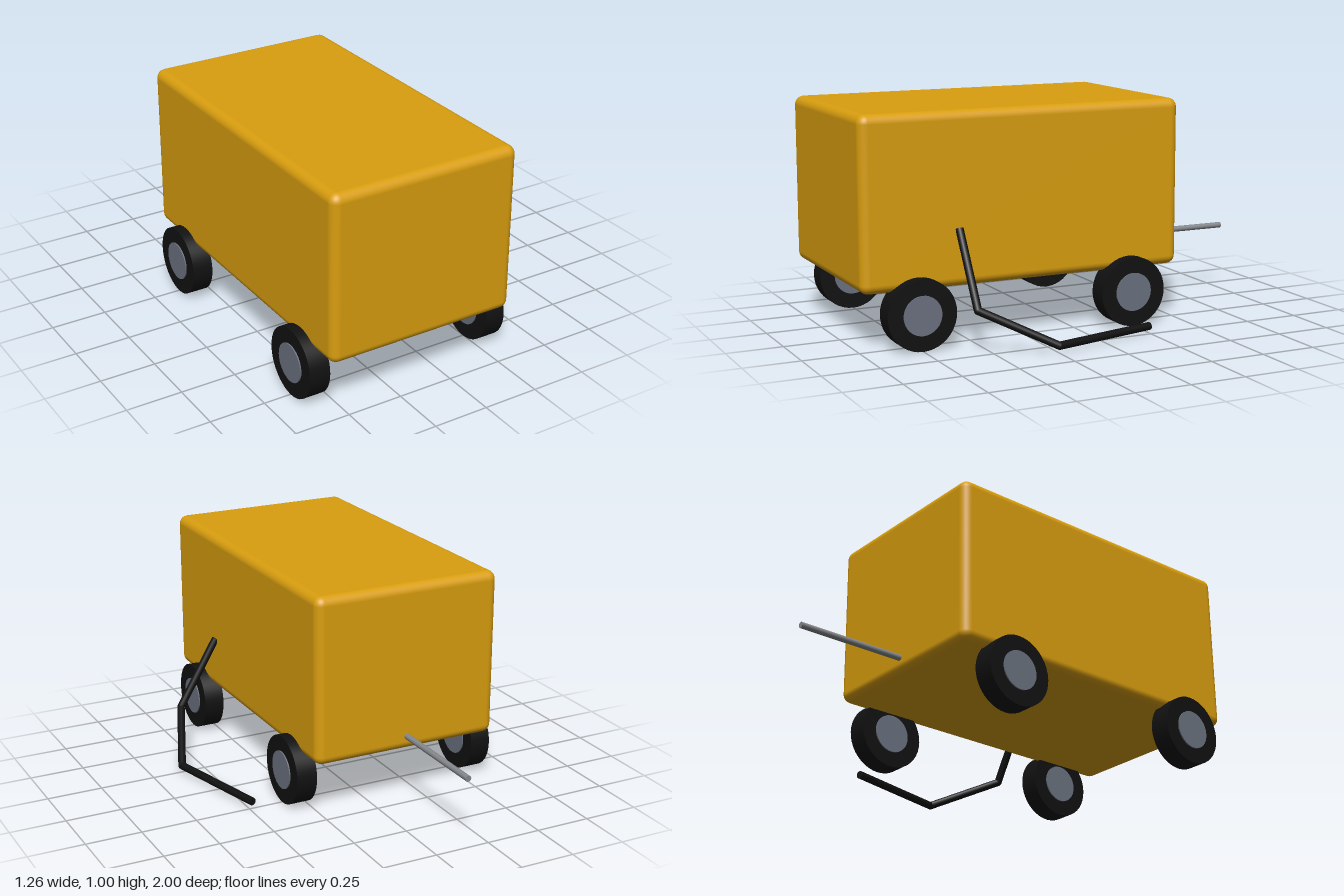
import * as THREE from 'three';
import { RoundedBoxGeometry } from 'three/addons/geometries/RoundedBoxGeometry.js';

const material = (name, color) => {
  const m = new THREE.MeshStandardMaterial({ color });
  m.name = name;
  return m;
};

export function createModel() {
  const yellow = material('yellow paint', 0xd99e0f);
  const black = material('black rubber', 0x111111);
  const hubGrey = material('hub grey', 0x6b7280);
  const steel = material('steel grey', 0x85888c);
  const model = new THREE.Group();
  model.name = 'trailer';
  const centreX = -0.142;

  const add = (parent, name, geometry, mat, x = 0, y = 0, z = 0) => {
    const mesh = new THREE.Mesh(geometry, mat);
    mesh.name = name;
    mesh.position.set(x, y, z);
    parent.add(mesh);
    return mesh;
  };

  // Box body with rounded edges
  add(model, 'body', new RoundedBoxGeometry(0.876, 0.75, 1.5, 4, 0.04), yellow, centreX, 0.625, 0.25);

  // Four wheels, each with a hub standing slightly proud on both sides
  const tyreShape = new THREE.CylinderGeometry(0.155, 0.155, 0.094, 40).rotateZ(Math.PI / 2);
  const hubShape = new THREE.CylinderGeometry(0.086, 0.086, 0.105, 32).rotateZ(Math.PI / 2);
  for (const side of [-1, 1]) {
    for (const [end, z] of [['front', 0.752], ['back', -0.25]]) {
      const wheel = new THREE.Group();
      wheel.name = `${end}${side > 0 ? 'Left' : 'Right'}Wheel`;
      wheel.position.set(centreX + side * 0.437, 0.155, z);
      add(wheel, 'tyre', tyreShape, black);
      add(wheel, 'hub', hubShape, hubGrey);
      model.add(wheel);
    }
  }

  // Tow bar at the back
  const bar = new THREE.CylinderGeometry(0.0135, 0.0135, 0.52, 20).rotateX(Math.PI / 2);
  add(model, 'towBar', bar, steel, centreX, 0.313, -0.74);

  // Cable hanging from the left side in straight runs with round joints
  const points = [
    [0.296, 0.5, 0.563], [0.482, 0.187, 0.563], [0.61, 0.032, 0.25], [0.485, 0.032, -0.25],
  ].map((p) => new THREE.Vector3(...p));
  const cable = new THREE.Group();
  cable.name = 'cable';
  model.add(cable);
  const radius = 0.0175;
  const up = new THREE.Vector3(0, 1, 0);
  for (let i = 0; i < points.length - 1; i++) {
    const run = points[i + 1].clone().sub(points[i]);
    const mid = points[i].clone().add(points[i + 1]).multiplyScalar(0.5);
    const geometry = new THREE.CylinderGeometry(radius, radius, run.length(), 16);
    const mesh = add(cable, 'cableRun', geometry, black, mid.x, mid.y, mid.z);
    mesh.quaternion.setFromUnitVectors(up, run.normalize());
    if (i > 0) {
      add(cable, 'cableJoint', new THREE.SphereGeometry(radius, 16, 12), black, ...points[i].toArray());
    }
  }

  return model;
}
